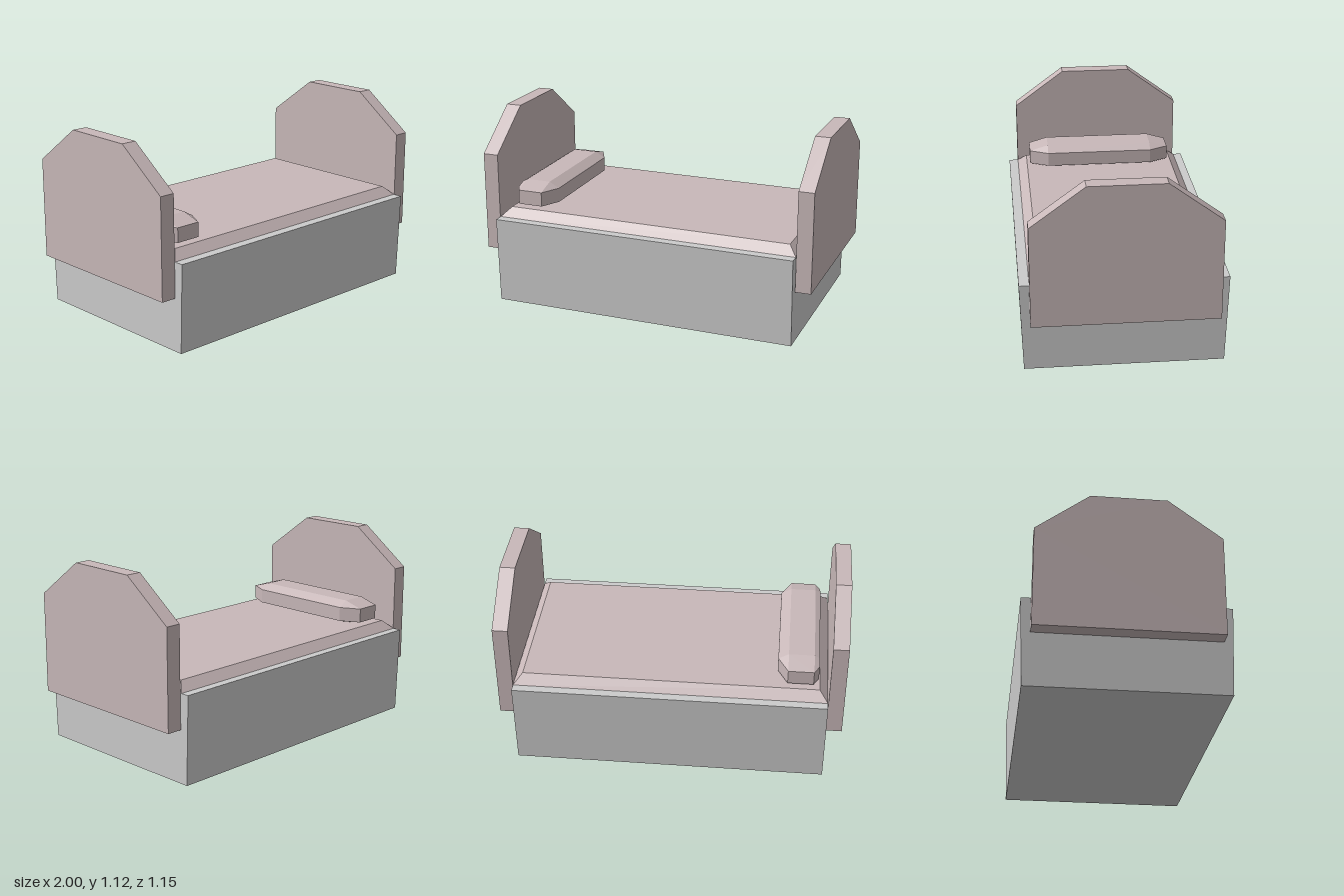
import * as THREE from 'three';
import { ConvexGeometry } from 'three/addons/geometries/ConvexGeometry.js';

const grey = new THREE.MeshStandardMaterial({ color: 0xcccccc, flatShading: true });
const mauve = new THREE.MeshStandardMaterial({ color: 0xc8b8b9, flatShading: true });

function part(name, geometry, material) {
  const mesh = new THREE.Mesh(geometry, material);
  mesh.name = name;
  return mesh;
}

// Box whose top has a different width and depth from its bottom
function taperedBox(y0, y1, [w0, d0], [w1, d1]) {
  const geometry = new THREE.BoxGeometry(1, 1, 1);
  const pos = geometry.attributes.position;
  for (let i = 0; i < pos.count; i++) {
    const top = pos.getY(i) > 0;
    pos.setXYZ(i, pos.getX(i) * (top ? w1 : w0), top ? y1 : y0, pos.getZ(i) * (top ? d1 : d0));
  }
  geometry.computeVertexNormals();
  return geometry;
}

// End board: rectangle with two sloped top corners, 0.09 thick
function boardGeometry() {
  const outline = [[-0.52, 0.31], [0.52, 0.31], [0.52, 0.895], [0.215, 1.12], [-0.215, 1.12], [-0.52, 0.895]];
  const shape = new THREE.Shape(outline.map(([z, y]) => new THREE.Vector2(z, y)));
  return new THREE.ExtrudeGeometry(shape, { depth: 0.09, bevelEnabled: false })
    .translate(0, 0, -0.045)
    .rotateY(Math.PI / 2);
}

// Bevelled pillow, its bevel cut short on the side facing the headboard
function pillowGeometry() {
  const points = [];
  for (const s of [-1, 1]) {
    const add = (x, y, z) => points.push(new THREE.Vector3(x, y, s * z));
    for (const [flat, edge, cut] of [[0.702, 0.668, 0.685], [0.567, 0.583, 0.575]]) {
      add(-0.82, flat, 0.33); // top and bottom faces
      add(-0.672, flat, 0.33);
      add(-0.82, edge, 0.445); // end faces
      add(-0.672, edge, 0.445);
      add(-0.613, edge, 0.33); // side facing the foot
      add(-0.85, edge, 0.388); // side facing the headboard
      add(-0.85, cut, 0.33);
    }
  }
  return new ConvexGeometry(points);
}

export function createModel() {
  const bed = new THREE.Group();
  bed.name = 'bed';

  bed.add(part('base', taperedBox(0, 0.515, [1.815, 1.12], [1.815, 1.152]), grey));

  const mattress = part('mattress', taperedBox(0.515, 0.566, [1.815, 1.045], [1.715, 0.935]), mauve);
  mattress.position.z = -0.003;
  bed.add(mattress);

  for (const [name, side] of [['headboard', -1], ['footboard', 1]]) {
    const board = part(name, boardGeometry(), mauve);
    board.position.x = side * 0.955;
    bed.add(board);
  }

  bed.add(part('pillow', pillowGeometry(), mauve));
  return bed;
}
